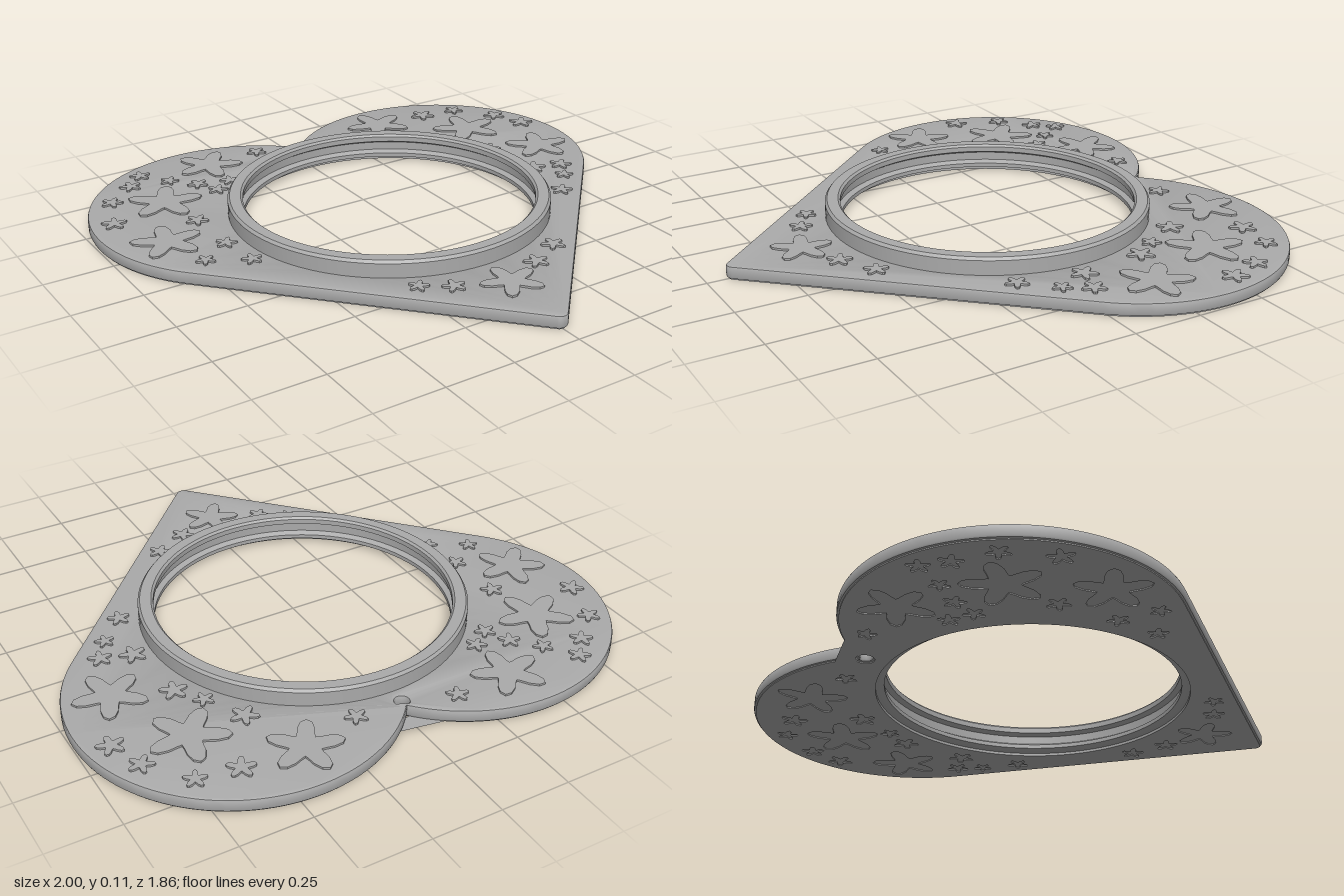
import * as THREE from 'three';
import { toCreasedNormals } from 'three/addons/utils/BufferGeometryUtils.js';

const LOBE = { x: 0.43, z: -0.365, r: 0.57 };
const TIP = { z: 0.9, r: 0.03 };
const RING_Z = -0.07, EYE_Z = -0.71;

// direction of the straight flank's outward normal (x, z)
const dx = LOBE.x, dz = LOBE.z - TIP.z;
const flank = Math.atan2(dz, dx) + Math.acos((TIP.r - LOBE.r) / Math.hypot(dx, dz));
const flankDist = TIP.z * Math.sin(flank) + TIP.r;

// Shapes are drawn with y = -z, then laid flat.
function heartShape(inset = 0) {
  const r = LOBE.r - inset, t = TIP.r - inset;
  const cusp = Math.PI - Math.acos(LOBE.x / r);
  const pts = [];
  const half = [];
  for (let i = 0; i <= 6; i++) {
    const a = -Math.PI / 2 + (Math.PI / 2 - flank) * (i / 6);
    half.push([t * Math.cos(a), -TIP.z + t * Math.sin(a)]);
  }
  for (let i = 0; i <= 64; i++) {
    const a = -flank + (cusp + flank) * (i / 64);
    half.push([LOBE.x + r * Math.cos(a), -LOBE.z + r * Math.sin(a)]);
  }
  half.forEach(([x, y]) => pts.push(new THREE.Vector2(x, y)));
  half.slice(1, -1).reverse().forEach(([x, y]) => pts.push(new THREE.Vector2(-x, y)));
  return new THREE.Shape(pts);
}

function circlePath(z, r, n) {
  const pts = [];
  for (let i = 0; i < n; i++) {
    const a = -i / n * Math.PI * 2;
    pts.push(new THREE.Vector2(r * Math.cos(a), -z + r * Math.sin(a)));
  }
  return new THREE.Path(pts);
}

// five rounded petals
function flowerPoints({ x, z, r, turn }) {
  const pts = [];
  for (let i = 0; i < 40; i++) {
    const a = i / 40 * Math.PI * 2;
    const d = r * (0.7 + 0.3 * Math.cos(5 * a));
    pts.push(new THREE.Vector2(x + d * Math.cos(a + turn), -z + d * Math.sin(a + turn)));
  }
  return pts;
}

// large flowers placed by hand, small ones scattered between them
function scatterFlowers() {
  let seed = 7;
  const rand = () => (seed = (seed * 16807) % 2147483647) / 2147483647;
  const list = [{ x: 0, z: 0.66, r: 0.11, turn: 0.3 }];
  for (const s of [-1, 1]) {
    [[0.39, -0.76, 0.13], [0.68, -0.53, 0.14], [0.81, -0.22, 0.13]].forEach(([x, z, r], i) =>
      list.push({ x: s * x, z, r, turn: s * (0.4 + i) }));
  }
  for (let i = 0; i < 6000; i++) {
    const f = { x: rand() * 2 - 1, z: rand() * 1.9 - 0.95, r: 0.036 + 0.016 * rand(), turn: rand() * 6 };
    const m = f.r + 0.03, ax = Math.abs(f.x);
    const inLobe = Math.hypot(ax - LOBE.x, f.z - LOBE.z) < LOBE.r - m;
    const inPoint = f.z > 0 && ax * Math.cos(flank) + f.z * Math.sin(flank) < flankDist - m;
    if (!inLobe && !inPoint) continue;
    if (Math.hypot(f.x, f.z - RING_Z) < 0.59 + f.r + 0.01) continue;
    if (Math.hypot(f.x, f.z - EYE_Z) < 0.04 + f.r) continue;
    if (list.some(o => Math.hypot(o.x - f.x, o.z - f.z) < o.r + f.r + 0.008)) continue;
    list.push(f);
  }
  return list;
}

function slab(shape, y, depth, bevel = 0) {
  const g = new THREE.ExtrudeGeometry(shape, {
    depth: depth - 2 * bevel, bevelEnabled: bevel > 0, bevelSize: bevel,
    bevelThickness: bevel, bevelOffset: -bevel, bevelSegments: 2, curveSegments: 12,
  });
  g.rotateX(-Math.PI / 2);
  g.translate(0, y + bevel, 0);
  return toCreasedNormals(g, 0.5);
}

export function createModel() {
  const group = new THREE.Group();
  const grey = new THREE.MeshStandardMaterial({ color: 0xaaaaaa });
  grey.name = 'grey';
  const add = (name, geometry) => {
    const mesh = new THREE.Mesh(geometry, grey);
    mesh.name = name;
    group.add(mesh);
    return mesh;
  };
  const flowers = scatterFlowers();

  // heart plate with the round opening and hanging hole
  const plate = heartShape();
  plate.holes.push(circlePath(RING_Z, 0.575, 96), circlePath(EYE_Z, 0.025, 24));
  add('heartPlate', slab(plate, 0.004, 0.046, 0.008));

  // underside skin, with the flowers sunk into it
  const skin = heartShape(0.008);
  skin.holes.push(circlePath(RING_Z, 0.585, 96), circlePath(EYE_Z, 0.033, 24));
  flowers.forEach(f => skin.holes.push(new THREE.Path(flowerPoints(f))));
  add('underside', slab(skin, 0, 0.004));

  // raised flowers on the top
  const relief = flowers.map(f => new THREE.Shape(flowerPoints(f)));
  add('flowers', slab(relief, 0.048, 0.009));

  // raised rim with an inner groove
  const profile = [
    [0.585, 0], [0.585, 0.102], [0.577, 0.112], [0.538, 0.112], [0.53, 0.104], [0.53, 0.085],
    [0.548, 0.075], [0.548, 0.045], [0.53, 0.035], [0.53, 0.02], [0.56, 0.01], [0.56, 0], [0.585, 0],
  ].map(([r, y]) => new THREE.Vector2(r, y));
  const rim = add('rim', toCreasedNormals(new THREE.LatheGeometry(profile, 96), 0.5));
  rim.position.z = RING_Z;

  return group;
}
